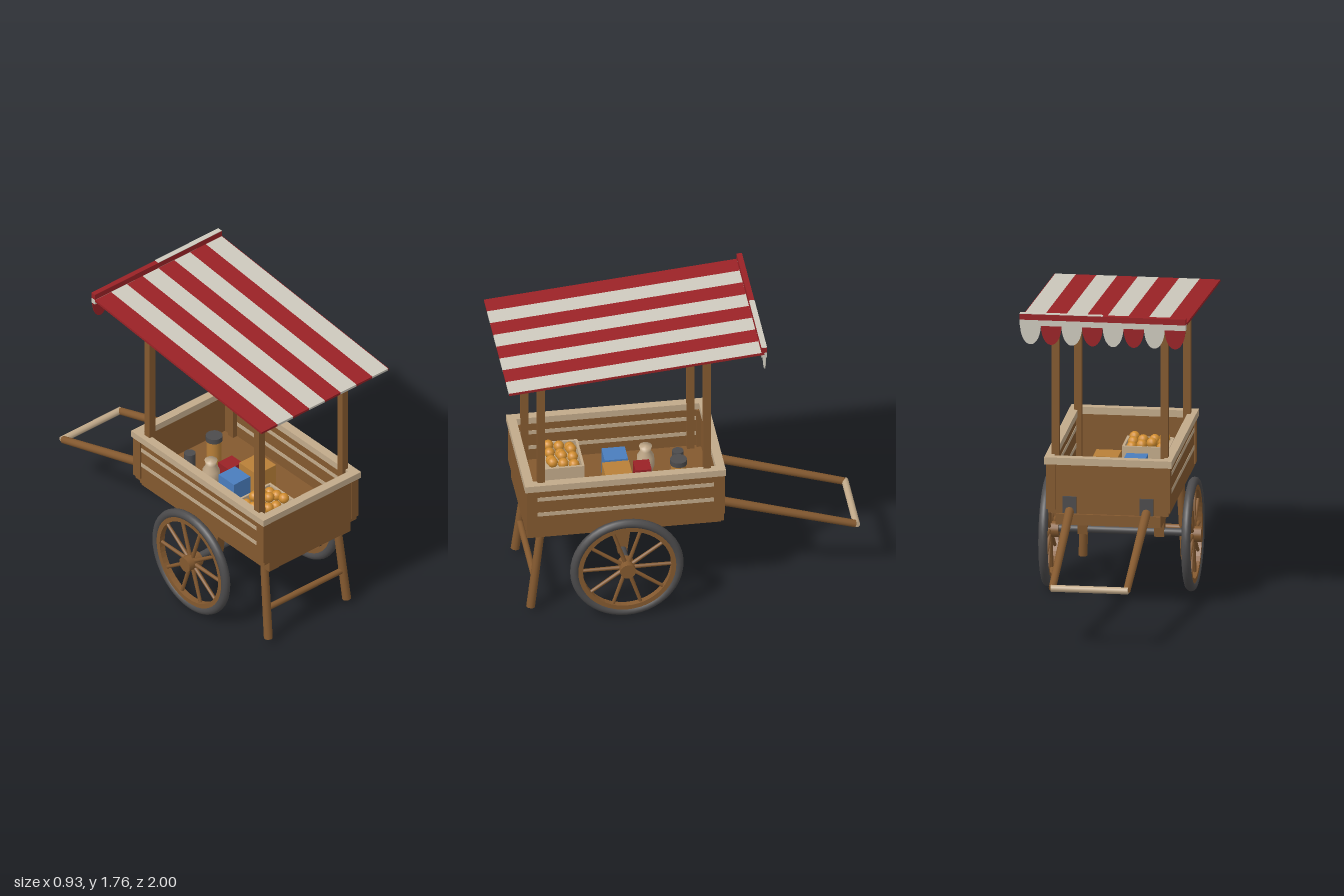
import * as THREE from 'three';

const mat = (name, color) => { const m = new THREE.MeshStandardMaterial({ color }); m.name = name; return m; };

export function createModel() {
  const wood = mat('brown wood', 0x84592f), pale = mat('pale wood', 0xc2aa8a);
  const red = mat('red cloth', 0x9a2226), white = mat('cream cloth', 0xcdc9bd);
  const iron = mat('dark iron', 0x4c4b4c), orange = mat('orange fruit', 0xd08c2e);
  const card = mat('ochre card', 0xb98038), blue = mat('blue tin', 0x4a7dbd);
  const cart = new THREE.Group();
  cart.name = 'marketCart';

  const add = (name, geo, m, x = 0, y = 0, z = 0, parent = cart) => {
    const mesh = new THREE.Mesh(geo, m);
    mesh.name = name;
    mesh.position.set(x, y, z);
    parent.add(mesh);
    return mesh;
  };
  // box given by its limits on each axis
  const box = (name, m, x0, x1, y0, y1, z0, z1, parent) =>
    add(name, new THREE.BoxGeometry(x1 - x0, y1 - y0, z1 - z0), m, (x0 + x1) / 2, (y0 + y1) / 2, (z0 + z1) / 2, parent);
  // round bar between two points
  const rod = (name, m, a, b, r, r2 = r, sides = 12, parent) => {
    const p = new THREE.Vector3(...a), q = new THREE.Vector3(...b), d = q.clone().sub(p);
    const mesh = add(name, new THREE.CylinderGeometry(r2, r, d.length(), sides), m, 0, 0, 0, parent);
    mesh.position.copy(p).add(q).multiplyScalar(0.5);
    mesh.quaternion.setFromUnitVectors(new THREE.Vector3(0, 1, 0), d.normalize());
    return mesh;
  };

  // tray: floor, end boards, slatted sides, corner posts
  box('floor', wood, -0.335, 0.335, 0.56, 0.595, -0.215, 0.875);
  box('frontBoard', wood, -0.32, 0.32, 0.585, 0.84, 0.85, 0.875);
  box('backBoard', wood, -0.32, 0.32, 0.585, 0.84, -0.215, -0.19);
  const slats = [0.585, 0.665, 0.69, 0.765, 0.79, 0.84];
  for (const s of [-1, 1]) {
    for (let i = 0; i < 5; i++) {
      const x = s * 0.325, t = i % 2 ? 0.014 : 0.012;
      box('sideSlat', i % 2 ? pale : wood, x - t, x + t, slats[i], slats[i + 1], -0.17, 0.825);
    }
    for (const z of [0.85, -0.195]) box('cornerPost', wood, s * 0.32 - 0.026, s * 0.32 + 0.026, 0.582, 0.84, z - 0.03, z + 0.03);
    // pale rim on top of the tray
    box('sideRim', pale, s * 0.33 - 0.025, s * 0.33 + 0.025, 0.84, 0.88, -0.23, 0.89);
  }
  for (const z of [0.865, -0.205]) box('endRim', pale, -0.305, 0.305, 0.84, 0.88, z - 0.025, z + 0.025);

  // under frame
  for (const s of [-1, 1]) box('frameBeam', wood, s * 0.26 - 0.035, s * 0.26 + 0.035, 0.495, 0.56, -0.21, 0.87);
  for (const z of [0.83, 0.33, -0.09, -0.19]) box('crossBeam', wood, -0.29, 0.29, 0.498, 0.56, z - 0.04, z + 0.04);

  // tapered axle brackets and axle
  const bracket = new THREE.Shape([[-0.025, 0.3], [0.025, 0.3], [0.05, 0.5], [-0.05, 0.5]].map(p => new THREE.Vector2(...p)));
  const bracketGeo = new THREE.ExtrudeGeometry(bracket, { depth: 0.055, bevelEnabled: false }).translate(0, 0, -0.0275).rotateY(Math.PI / 2);
  for (const s of [-1, 1]) add('axleBracket', bracketGeo, wood, s * 0.213, 0, 0.33);
  rod('axle', iron, [-0.4, 0.325, 0.33], [0.4, 0.325, 0.33], 0.022);

  // spoked wheels
  for (const s of [-1, 1]) {
    const wheel = new THREE.Group();
    wheel.name = 'wheel';
    wheel.position.set(s * 0.398, 0.317, 0.33);
    wheel.rotation.y = Math.PI / 2;
    cart.add(wheel);
    add('tyre', new THREE.TorusGeometry(0.291, 0.026, 12, 48), iron, 0, 0, 0, wheel);
    const ring = new THREE.Shape().absarc(0, 0, 0.275, 0, Math.PI * 2);
    ring.holes.push(new THREE.Path().absarc(0, 0, 0.247, 0, Math.PI * 2, true));
    add('woodRim', new THREE.ExtrudeGeometry(ring, { depth: 0.036, bevelEnabled: false, curveSegments: 24 }), wood, 0, 0, -0.018, wheel);
    for (let i = 0; i < 10; i++) {
      const a = i * Math.PI / 5, c = Math.cos(a), n = Math.sin(a);
      rod('spoke', wood, [c * 0.03, n * 0.03, 0], [c * 0.255, n * 0.255, 0], 0.012, 0.01, 8, wheel);
    }
    rod('hub', wood, [0, 0, -0.05], [0, 0, 0.05], 0.044, 0.044, 16, wheel);
  }

  // front legs with a cross bar
  for (const s of [-1, 1]) rod('frontLeg', wood, [s * 0.285, 0.03, 0.85], [s * 0.262, 0.56, 0.785], 0.025, 0.023);
  rod('legBar', wood, [-0.275, 0.215, 0.827], [0.275, 0.215, 0.827], 0.018);

  // pull handle
  for (const s of [-1, 1]) {
    rod('handleArm', wood, [s * 0.214, 0.585, -0.2], [s * 0.207, 0.34, -0.975], 0.026, 0.021);
    box('handlePlate', iron, s * 0.214 - 0.038, s * 0.214 + 0.038, 0.565, 0.66, -0.232, -0.22);
  }
  rod('handleGrip', pale, [-0.215, 0.34, -0.98], [0.215, 0.34, -0.98], 0.02);

  // canopy posts
  for (const s of [-1, 1]) {
    box('frontPost', wood, s * 0.303 - 0.021, s * 0.303 + 0.021, 0.59, 1.6, 0.775, 0.817);
    box('backPost', wood, s * 0.303 - 0.021, s * 0.303 + 0.021, 0.59, 1.684, -0.152, -0.11);
  }

  // striped sloping canopy with a scalloped back edge
  const canopy = new THREE.Group();
  canopy.name = 'canopy';
  canopy.position.set(0, 1.651, 0.285);
  canopy.rotation.x = 0.09;
  cart.add(canopy);
  const w = 0.115;
  const scallop = new THREE.Shape().absellipse(0, 0, w / 2, 0.11, Math.PI, Math.PI * 2);
  const scallopGeo = new THREE.ExtrudeGeometry(scallop, { depth: 0.005, bevelEnabled: false, curveSegments: 16 });
  for (let i = 0; i < 8; i++) {
    const x = (i - 3.5) * w, m = i % 2 ? white : red;
    box('canopyStripe', m, x - w / 2, x + w / 2, -0.007, 0.007, -0.715, 0.715, canopy);
    add('scallop', scallopGeo, m, x, 1.692, -0.438);
  }
  box('canopyEdge', red, 0.46, 0.463, -0.007, 0.007, -0.715, 0.715, canopy);
  box('valanceTop', red, -0.462, 0.462, 1.722, 1.755, -0.443, -0.412);
  box('valanceCap', white, 0, 0.462, 1.755, 1.758, -0.443, -0.412);
  box('valanceBottom', white, -0.462, 0.462, 1.69, 1.722, -0.443, -0.412);

  // fruit crate
  const crate = new THREE.Group();
  crate.name = 'fruitCrate';
  crate.position.set(-0.11, 0.595, 0.62);
  cart.add(crate);
  box('crateBase', pale, -0.12, 0.12, 0, 0.09, -0.1, 0.1, crate);
  for (const s of [-1, 1]) {
    box('crateSide', pale, s * 0.125 - 0.007, s * 0.125 + 0.007, 0, 0.16, -0.11, 0.11, crate);
    box('crateEnd', pale, -0.12, 0.12, 0, 0.16, s * 0.105 - 0.007, s * 0.105 + 0.007, crate);
  }
  const fruit = new THREE.SphereGeometry(0.03, 12, 8);
  for (let i = 0; i < 4; i++) for (let j = 0; j < 3; j++)
    add('orange', fruit, orange, (i - 1.5) * 0.056, 0.145 + ((i * 2 + j) % 3) * 0.013, (j - 1) * 0.06, crate);

  // boxes and jars
  box('blueBox', blue, -0.14, -0.02, 0.595, 0.75, 0.26, 0.39);
  box('ochreBox', card, 0.01, 0.15, 0.595, 0.76, 0.26, 0.41);
  box('redBox', red, -0.04, 0.06, 0.595, 0.72, 0.14, 0.23);
  const jar = [[0, 0], [0.035, 0], [0.05, 0.05], [0.048, 0.11], [0.028, 0.145], [0.036, 0.175], [0, 0.175]];
  add('jug', new THREE.LatheGeometry(jar.map(p => new THREE.Vector2(...p)), 20), pale, -0.1, 0.595, 0.15);
  rod('jar', card, [0.06, 0.595, -0.01], [0.06, 0.745, -0.01], 0.042, 0.042, 16);
  rod('jarLid', iron, [0.06, 0.745, -0.01], [0.06, 0.775, -0.01], 0.047, 0.047, 16);
  rod('darkTin', iron, [-0.1, 0.595, -0.03], [-0.1, 0.72, -0.03], 0.032, 0.032, 16);
  return cart;
}
